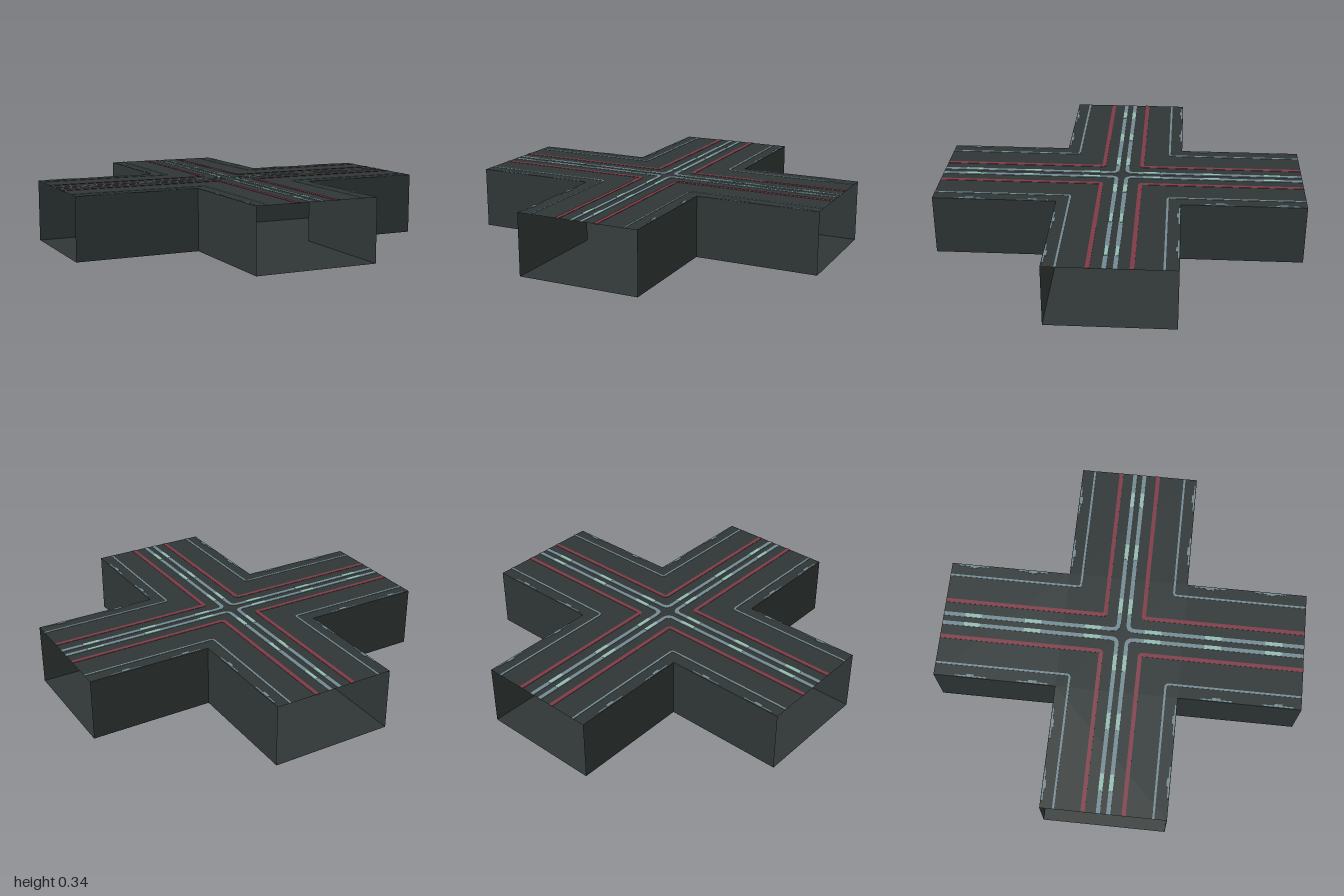
import * as THREE from 'three';

const HALF = 1 / 3;   // half width of a corridor, and its height
const END = 1;        // distance from the centre to each open end

const paint = (name, color, side = THREE.FrontSide) => {
  const m = new THREE.MeshStandardMaterial({ color, side });
  m.name = name;
  return m;
};

export function createModel() {
  const dark = paint('dark panel', 0x2e3635, THREE.DoubleSide);
  const red = paint('red line', 0x7d3a46);
  const grey = paint('blue grey line', 0x728891);
  const teal = paint('pale teal light', 0x92b9b0);

  const group = new THREE.Group();
  group.name = 'crossCorridor';
  const add = (parent, name, geometry, material, x = 0, y = 0, z = 0) => {
    const mesh = new THREE.Mesh(geometry, material);
    mesh.name = name;
    mesh.position.set(x, y, z);
    parent.add(mesh);
    return mesh;
  };

  // Cross-shaped sheet for floor and ceiling
  const cross = new THREE.Shape([
    [HALF, HALF], [HALF, END], [-HALF, END], [-HALF, HALF], [-END, HALF], [-END, -HALF],
    [-HALF, -HALF], [-HALF, -END], [HALF, -END], [HALF, -HALF], [END, -HALF], [END, HALF],
  ].map(([x, y]) => new THREE.Vector2(x, y)));
  const sheet = new THREE.ShapeGeometry(cross);
  add(group, 'ceiling', sheet, dark, 0, HALF).rotation.x = -Math.PI / 2;
  add(group, 'floor', sheet, dark).rotation.x = Math.PI / 2;

  // L-shaped line with a rounded corner, showing on both faces of the ceiling
  const cornerLine = (at, width, radius) => {
    const far = at + width;
    const s = new THREE.Shape();
    s.moveTo(END, at);
    s.lineTo(END, far);
    s.lineTo(far + radius, far);
    s.quadraticCurveTo(far, far, far, far + radius);
    s.lineTo(far, END);
    s.lineTo(at, END);
    s.lineTo(at, far + radius);
    s.quadraticCurveTo(at, at, far + radius, at);
    s.closePath();
    const g = new THREE.ExtrudeGeometry(s, { depth: 0.004, bevelEnabled: false, curveSegments: 6 });
    return g.translate(0, 0, -0.002).rotateX(-Math.PI / 2);
  };
  const redLine = cornerLine(0.096, 0.022, 0.004);
  const centreLine = cornerLine(0.016, 0.022, 0.025);
  const sideLine = cornerLine(0.256, 0.011, 0.014);

  const wall = new THREE.PlaneGeometry(END - HALF, HALF);
  const light = new THREE.BoxGeometry(0.092, 0.007, 0.022);
  const dash = new THREE.BoxGeometry(0.17, 0.004, 0.007);
  const dashBlock = new THREE.BoxGeometry(0.045, 0.006, 0.016);
  const mid = (HALF + END) / 2;

  // One arm with its corner, turned four times
  for (let i = 0; i < 4; i++) {
    const arm = new THREE.Group();
    arm.name = 'arm' + (i + 1);
    arm.rotation.y = i * Math.PI / 2;
    group.add(arm);

    add(arm, 'backWall', wall, dark, mid, HALF / 2, -HALF).rotation.y = Math.PI;
    add(arm, 'frontWall', wall, dark, mid, HALF / 2, HALF);

    add(arm, 'redLine', redLine, red, 0, HALF);
    add(arm, 'centreLine', centreLine, grey, 0, HALF);
    add(arm, 'sideLine', sideLine, grey, 0, HALF);

    for (const side of [-1, 1]) {
      for (const x of [0.167, 0.5, 0.833]) {
        add(arm, 'ceilingLight', light, teal, x, HALF, side * 0.027);
      }
      // Broken marks along the edge, staggered between the two sides
      for (const x of side < 0 ? [0.46, 0.8] : [0.54, 0.875]) {
        add(arm, 'edgeDash', dash, grey, x, HALF, side * 0.326);
        add(arm, 'edgeBlock', dashBlock, grey, x, HALF, side * 0.322);
      }
    }
  }
  return group;
}
